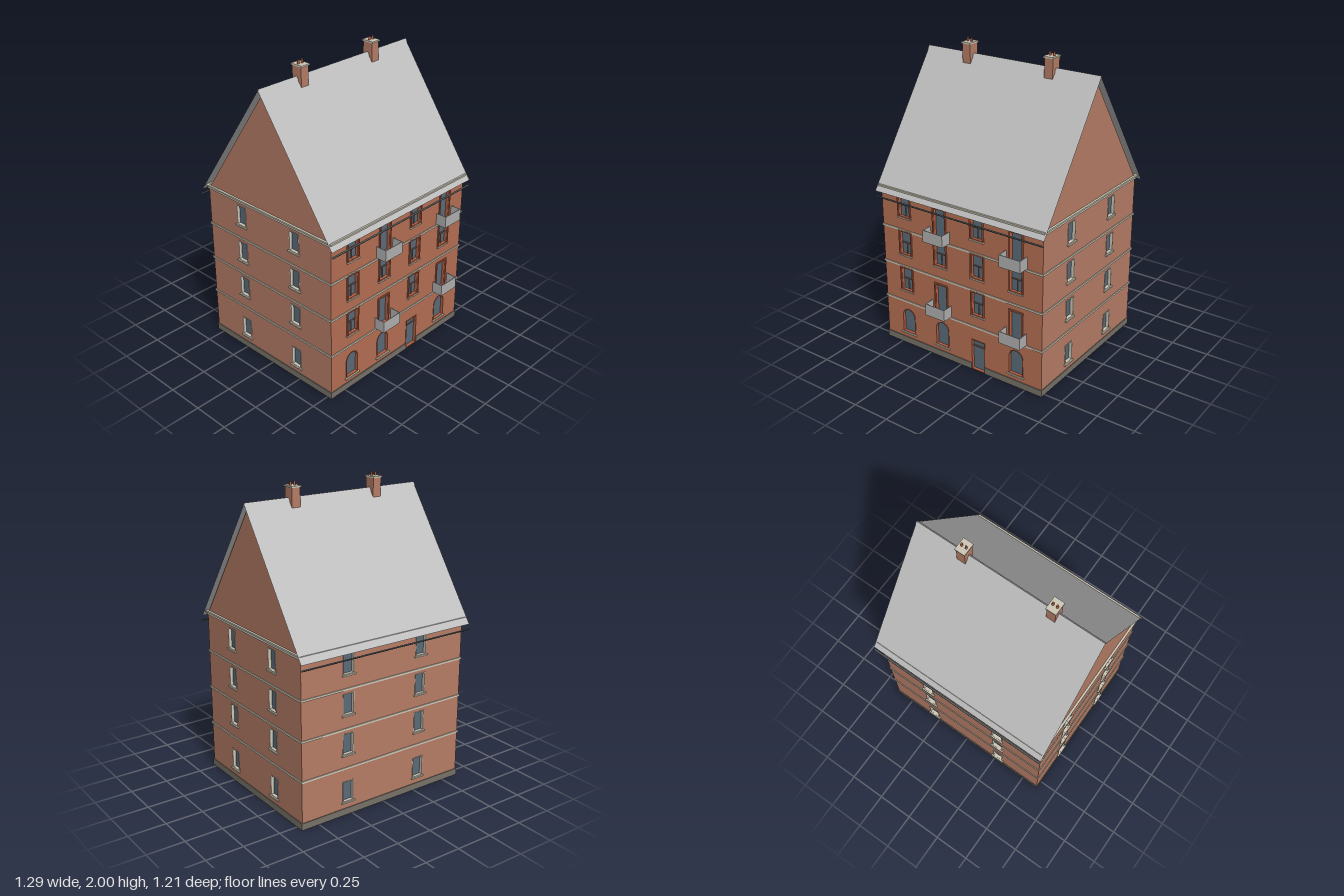
import * as THREE from 'three';

const D = THREE.DoubleSide;
const mat = (name, color, side = THREE.FrontSide) => {
  const m = new THREE.MeshStandardMaterial({ color, side });
  m.name = name;
  return m;
};

const X = 0.62, ZF = 0.53, ZB = -0.55, ZC = -0.01, HALF_Z = 0.54, WALL_TOP = 1.1;

export function createModel() {
  const M = {
    brick: mat('brick', 0xb67d66, D),
    frontBrick: mat('front brick', 0xb66f53, D),
    surround: mat('window surround', 0xb35f42),
    stone: mat('pale stone', 0xcdc7b6),
    plinth: mat('plinth stone', 0x777168),
    glass: mat('glass', 0x5b6b79, D),
    bar: mat('window bar', 0x80695e),
    roof: mat('roof', 0xbebebe, D),
    metal: mat('balcony metal', 0xb0b0b0),
    gutter: mat('dark metal', 0x555a5c, D),
  };
  const model = new THREE.Group();
  model.name = 'house';

  const add = (parent, name, geo, material, x = 0, y = 0, z = 0) => {
    const mesh = new THREE.Mesh(geo, material);
    mesh.name = name;
    mesh.position.set(x, y, z);
    parent.add(mesh);
    return mesh;
  };
  const box = (parent, name, material, w, h, d, x, y, z) =>
    add(parent, name, new THREE.BoxGeometry(w, h, d), material, x, y, z);

  // Outline of an opening, optionally arched, grown outward by g
  const outline = (o, g = 0, C = THREE.Shape) => {
    const s = new C(), r = o.w / 2 + g, b = o.y0 - g, t = o.y1 + g;
    s.moveTo(o.x - r, b);
    s.lineTo(o.x + r, b);
    if (o.arch) {
      s.lineTo(o.x + r, t - r);
      s.absarc(o.x, t - r, r, 0, Math.PI, false);
    } else {
      s.lineTo(o.x + r, t);
      s.lineTo(o.x - r, t);
    }
    s.closePath();
    return s;
  };
  const ring = (o, outer, inner, depth) => {
    const s = outline(o, outer);
    s.holes.push(outline(o, inner, THREE.Path));
    return new THREE.ExtrudeGeometry(s, { depth, bevelEnabled: false, curveSegments: 8 });
  };

  // A facade is a thin wall with openings, built facing +z
  const facade = (name, points, openings, material) => {
    const g = new THREE.Group();
    g.name = name;
    const shape = new THREE.Shape(points.map(p => new THREE.Vector2(...p)));
    openings.forEach(o => shape.holes.push(outline(o, 0, THREE.Path)));
    add(g, 'wall', new THREE.ShapeGeometry(shape, 8), material);
    openings.forEach(o => {
      add(g, 'windowGlass', new THREE.ShapeGeometry(outline(o), 8), M.glass, 0, 0, -0.018);
      const plain = o.kind === 'side';
      add(g, 'windowReveal', ring(o, 0.001, -0.004, 0.023), plain ? M.stone : M.surround, 0, 0, -0.02);
      if (o.kind === 'window' || o.kind === 'balcony')
        add(g, 'windowSurround', ring(o, 0.008, -0.001, 0.008), M.surround);
      if (o.kind !== 'door' && o.kind !== 'balcony')
        box(g, 'sill', M.stone, o.w + 0.018, 0.009, 0.012, o.x, o.y0 - 0.004, 0.006);
      const h = o.y1 - o.y0, mid = o.y0 + h / 2;
      if (o.kind === 'window') {
        box(g, 'sashRail', M.bar, o.w, 0.007, 0.006, o.x, mid, -0.014);
        box(g, 'sashBar', M.bar, 0.005, h / 2, 0.006, o.x, o.y0 + h / 4, -0.014);
      }
      if (o.kind === 'door')
        box(g, 'doorTransom', M.bar, o.w, 0.008, 0.008, o.x, 0.175, -0.013);
    });
    model.add(g);
    return g;
  };

  // Front openings: arches and door below, windows and balcony doors above
  const cols = [-0.435, -0.15, 0.14, 0.43];
  const front = [];
  cols.forEach((x, i) => {
    front.push(i === 2 ? { x, y0: 0.002, y1: 0.222, w: 0.104, kind: 'door' }
      : { x, y0: 0.084, y1: 0.26, w: 0.106, arch: true, kind: 'arch' });
    [0.4, 0.66, 0.925].forEach((y, row) => {
      if (i % 2 && row !== 1)
        front.push({ x, y0: y - 0.075, y1: y + 0.132, w: 0.09, kind: 'balcony' });
      else
        front.push({ x, y0: y + 0.004, y1: y + (row === 2 ? 0.155 : 0.167), w: 0.09, kind: 'window' });
    });
  });
  const rect = [[-X, 0], [X, 0], [X, WALL_TOP], [-X, WALL_TOP]];
  const frontFacade = facade('frontFacade', rect, front, M.frontBrick);
  frontFacade.position.z = ZF;

  // Balconies: open metal railings of three panels
  [cols[1], cols[3]].forEach(x => [0.367, 0.886].forEach(y => {
    const b = new THREE.Group();
    b.name = 'balcony';
    b.position.set(x + 0.002, y, 0);
    box(b, 'railFront', M.metal, 0.154, 0.08, 0.004, 0, 0, 0.073);
    for (const s of [-1, 1]) box(b, 'railSide', M.metal, 0.004, 0.08, 0.075, s * 0.075, 0, 0.0375);
    frontFacade.add(b);
  }));

  // Back and gabled side facades
  const plainWindows = dx => [0.09, 0.41, 0.67, 0.93].flatMap(y =>
    [-dx, dx].map(x => ({ x, y0: y, y1: y + 0.138, w: 0.08, kind: 'side' })));
  const back = facade('backFacade', rect, plainWindows(0.28), M.brick);
  back.position.z = ZB;
  back.rotation.y = Math.PI;
  const gable = [[-HALF_Z, 0], [HALF_Z, 0], [HALF_Z, WALL_TOP], [0.525, 1.11], [0, 1.865],
    [-0.525, 1.11], [-HALF_Z, WALL_TOP]];
  for (const s of [-1, 1]) {
    const side = facade(s > 0 ? 'leftFacade' : 'rightFacade', gable, plainWindows(0.235), M.brick);
    side.position.set(s * X, 0, ZC);
    side.rotation.y = s * Math.PI / 2;
  }

  // Hollow stone bands round the walls
  const band = (name, y0, y1, out) => {
    const r = (a, b, C) => new C([[-a, -b], [a, -b], [a, b], [-a, b]].map(p => new THREE.Vector2(...p)));
    const s = r(X + out, HALF_Z + out, THREE.Shape);
    s.holes.push(r(X + 0.0005, HALF_Z + 0.0005, THREE.Path));
    const geo = new THREE.ExtrudeGeometry(s, { depth: y1 - y0, bevelEnabled: false });
    geo.rotateX(-Math.PI / 2);
    add(model, name, geo, M.stone, 0, y0, ZC);
  };
  [0.312, 0.572, 0.83].forEach(y => band('stringCourse', y, y + 0.013, 0.006));
  band('corniceLower', 1.088, 1.106, 0.006);
  band('corniceUpper', 1.106, 1.116, 0.015);

  // Plinth, open at the door
  const P = 0.045, T = 0.005;
  for (const [a, b] of [[-X - T, 0.085], [0.195, X + T]])
    box(model, 'plinthFront', M.plinth, b - a, P, T, (a + b) / 2, P / 2, ZF + T / 2);
  box(model, 'plinthBack', M.plinth, 2 * (X + T), P, T, 0, P / 2, ZB - T / 2);
  for (const s of [-1, 1])
    box(model, 'plinthSide', M.plinth, T, P, 2 * HALF_Z, s * (X + T / 2), P / 2, ZC);

  // Roof sheets, ridge cap and half-round gutters
  const RX = 0.645, RZ = -0.015, RY = 1.897, slope = 1.425;
  const sheet = (name, s, run, lift) => {
    const len = run * Math.hypot(1, slope);
    const geo = new THREE.PlaneGeometry(2 * RX, len);
    geo.translate(0, -len / 2, 0);
    geo.rotateX(-Math.atan(1 / slope));
    if (s < 0) geo.rotateY(Math.PI);
    add(model, name, geo, M.roof, 0, RY + lift, RZ);
  };
  for (const s of [1, -1]) {
    sheet('roofSlope', s, 0.578, 0);
    sheet('ridgeCap', s, 0.015, 0.008);
    const pipe = new THREE.CylinderGeometry(0.007, 0.007, 2 * RX, 8, 1, true, 0, Math.PI);
    pipe.rotateZ(-Math.PI / 2);
    add(model, 'gutter', pipe, M.gutter, 0, 1.044, RZ + s * 0.583);
  }

  // Chimneys with cap and two pots
  for (const x of [-0.31, 0.305]) {
    const c = new THREE.Group();
    c.name = 'chimney';
    c.position.set(x, 0, -0.014);
    box(c, 'chimneyStack', M.brick, 0.06, 0.15, 0.075, 0, 1.893, 0);
    box(c, 'chimneyCap', M.stone, 0.07, 0.01, 0.088, 0, 1.971, 0);
    for (const s of [-1, 1])
      add(c, 'chimneyPot', new THREE.CylinderGeometry(0.006, 0.008, 0.026, 10), M.surround, s * 0.015, 1.987, 0);
    model.add(c);
  }
  return model;
}
